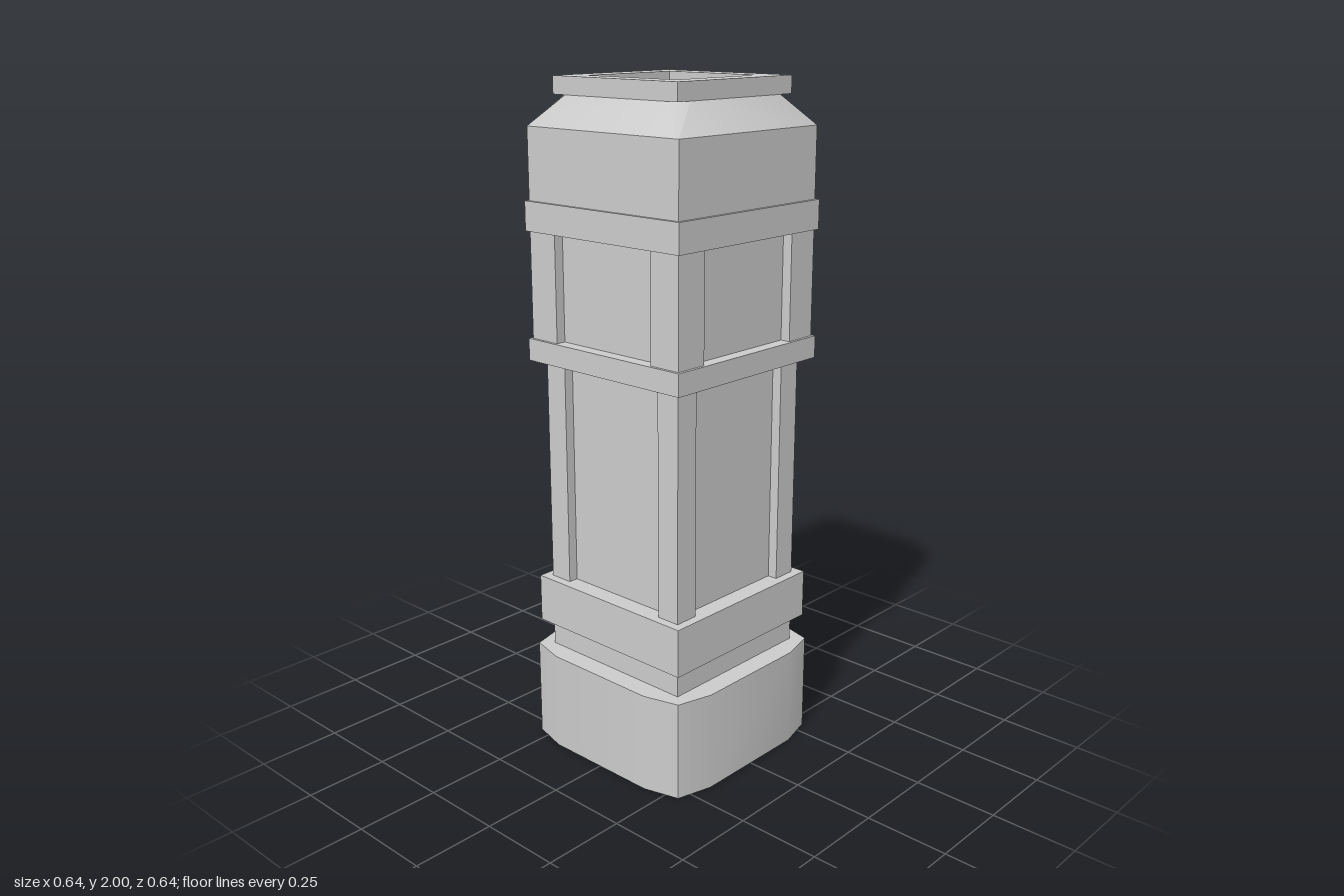
import * as THREE from 'three';
import { toCreasedNormals } from 'three/addons/utils/BufferGeometryUtils.js';
import { ConvexGeometry } from 'three/addons/geometries/ConvexGeometry.js';

const material = new THREE.MeshStandardMaterial({ color: 0xcccccc });

function add(parent, name, geometry) {
  const mesh = new THREE.Mesh(geometry, material);
  mesh.name = name;
  parent.add(mesh);
  return mesh;
}

// Square block centred on the axis, from y0 to y1, with half-width r
function block(parent, name, r, y0, y1) {
  add(parent, name, new THREE.BoxGeometry(2 * r, y1 - y0, 2 * r)).position.y = (y0 + y1) / 2;
}

// Repeats x,z points around the four corners at height y
function ring(points, y) {
  return [0, 1, 2, 3].flatMap((i) =>
    points.map(([x, z]) => new THREE.Vector3(x, y, z).applyAxisAngle(new THREE.Vector3(0, 1, 0), (i * Math.PI) / 2)));
}

// Convex solid between two outlines, gentle edges smooth and steep ones sharp
function hull(parent, name, bottom, top) {
  add(parent, name, toCreasedNormals(new ConvexGeometry([...bottom, ...top]), 0.8));
}

// Recessed core with four corner posts
function panelledSection(parent, name, r, y0, y1) {
  const section = new THREE.Group();
  section.name = name;
  parent.add(section);
  block(section, 'recessedPanels', r - 0.03, y0, y1);
  const w = r - 0.183;
  for (const sx of [-1, 1]) {
    for (const sz of [-1, 1]) {
      const post = add(section, 'cornerPost', new THREE.BoxGeometry(w, y1 - y0, w));
      post.position.set(sx * (r - w / 2), (y0 + y1) / 2, sz * (r - w / 2));
    }
  }
}

export function createModel() {
  const model = new THREE.Group();
  model.name = 'bollard';

  // Base with slightly bowed sides
  const foot = [[0.32, 0.183], [0.291, 0.291], [0.183, 0.32]];
  hull(model, 'base', ring(foot, 0), ring(foot, 0.3));

  // Shaft, from neck to upper band
  block(model, 'neck', 0.257, 0.3, 0.38);
  block(model, 'lowerBand', 0.284, 0.38, 0.525);
  panelledSection(model, 'lowerShaft', 0.257, 0.525, 1.2);
  block(model, 'middleBand', 0.293, 1.2, 1.265);
  panelledSection(model, 'upperShaft', 0.284, 1.265, 1.575);
  block(model, 'upperBand', 0.293, 1.575, 1.66);

  // Head with a sloped shoulder that cuts in at the corners
  block(model, 'head', 0.284, 1.66, 1.865);
  hull(model, 'shoulder', ring([[0.284, 0.284]], 1.865), ring([[0.232, 0.183], [0.183, 0.232]], 1.95));

  // Square rim around the recessed top
  const square = (path, r) => path.moveTo(-r, -r).lineTo(r, -r).lineTo(r, r).lineTo(-r, r).closePath();
  const outline = square(new THREE.Shape(), 0.232);
  outline.holes.push(square(new THREE.Path(), 0.163));
  const rim = new THREE.ExtrudeGeometry(outline, { depth: 0.05, bevelEnabled: false });
  rim.rotateX(-Math.PI / 2);
  add(model, 'topRim', rim).position.y = 1.95;

  return model;
}
